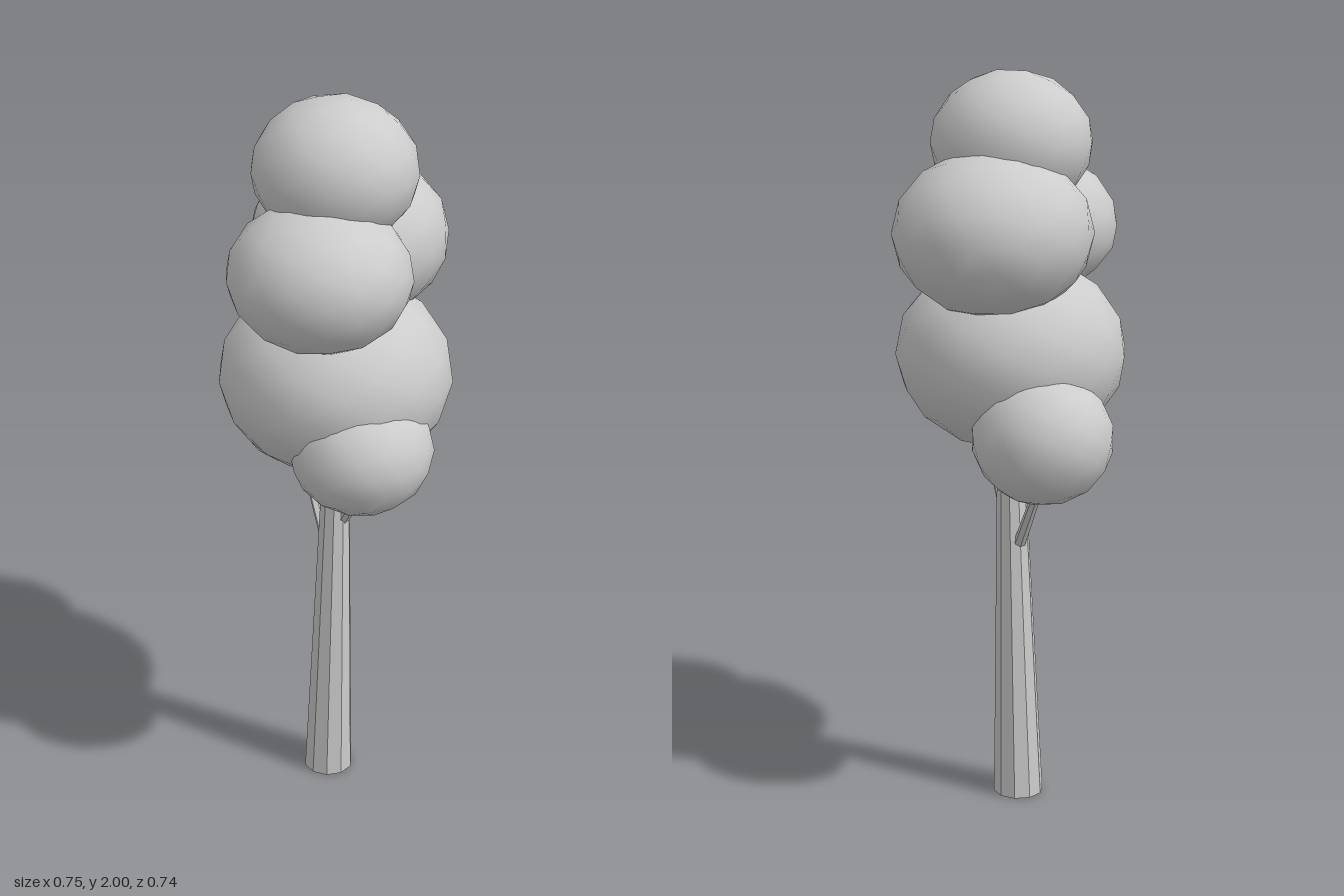
import * as THREE from 'three';

export function createModel() {
  const tree = new THREE.Group();
  tree.name = 'tree';
  const grey = new THREE.MeshStandardMaterial({ color: 0xcccccc });
  grey.name = 'light grey';

  function add(geometry, name) {
    const mesh = new THREE.Mesh(geometry, grey);
    mesh.name = name;
    tree.add(mesh);
  }

  // Tapered faceted limb, sheared so both ends stay level
  function limb(name, from, to, r0, r1, sides) {
    const a = new THREE.Vector3(...from);
    const b = new THREE.Vector3(...to);
    let g = new THREE.CylinderGeometry(r1, r0, 1, sides).toNonIndexed();
    const p = g.attributes.position;
    const v = new THREE.Vector3();
    for (let i = 0; i < p.count; i++) {
      v.fromBufferAttribute(p, i);
      const c = a.clone().lerp(b, v.y + 0.5);
      p.setXYZ(i, c.x + v.x, c.y, c.z + v.z);
    }
    g.computeVertexNormals();
    add(g, name);
  }

  limb('trunk', [-0.002, 0, 0.02], [0.025, 1.25, 0.01], 0.069, 0.029, 10);
  limb('rightBranch', [0, 0.705, 0.015], [-0.2, 1.0, -0.08], 0.018, 0.012, 6);
  limb('leftBranch', [0.03, 0.8, 0.005], [0.19, 1.03, 0.08], 0.017, 0.012, 6);

  // Foliage: smooth flattened balls as [name, centre, radii, turn]
  const clumps = [
    ['crownTop', [0.018, 1.815, 0.014], [0.216, 0.187, 0.209], 0.3],
    ['upperFrontFoliage', [0.072, 1.585, 0.14], [0.239, 0.192, 0.232], 1.1],
    ['upperBackFoliage', [-0.034, 1.595, -0.107], [0.26, 0.217, 0.264], 2.0],
    ['middleFoliage', [0.021, 1.26, 0.015], [0.31, 0.262, 0.309], 0.7],
    ['lowerRightFoliage', [-0.188, 1.075, -0.082], [0.189, 0.175, 0.183], 1.6],
    ['lowerLeftFoliage', [0.188, 1.125, 0.112], [0.185, 0.167, 0.19], 2.6],
  ];
  for (const [name, centre, radii, turn] of clumps) {
    const g = new THREE.IcosahedronGeometry(1, 2);
    g.rotateY(turn);
    g.scale(...radii);
    g.translate(...centre);
    add(g, name);
  }

  return tree;
}
